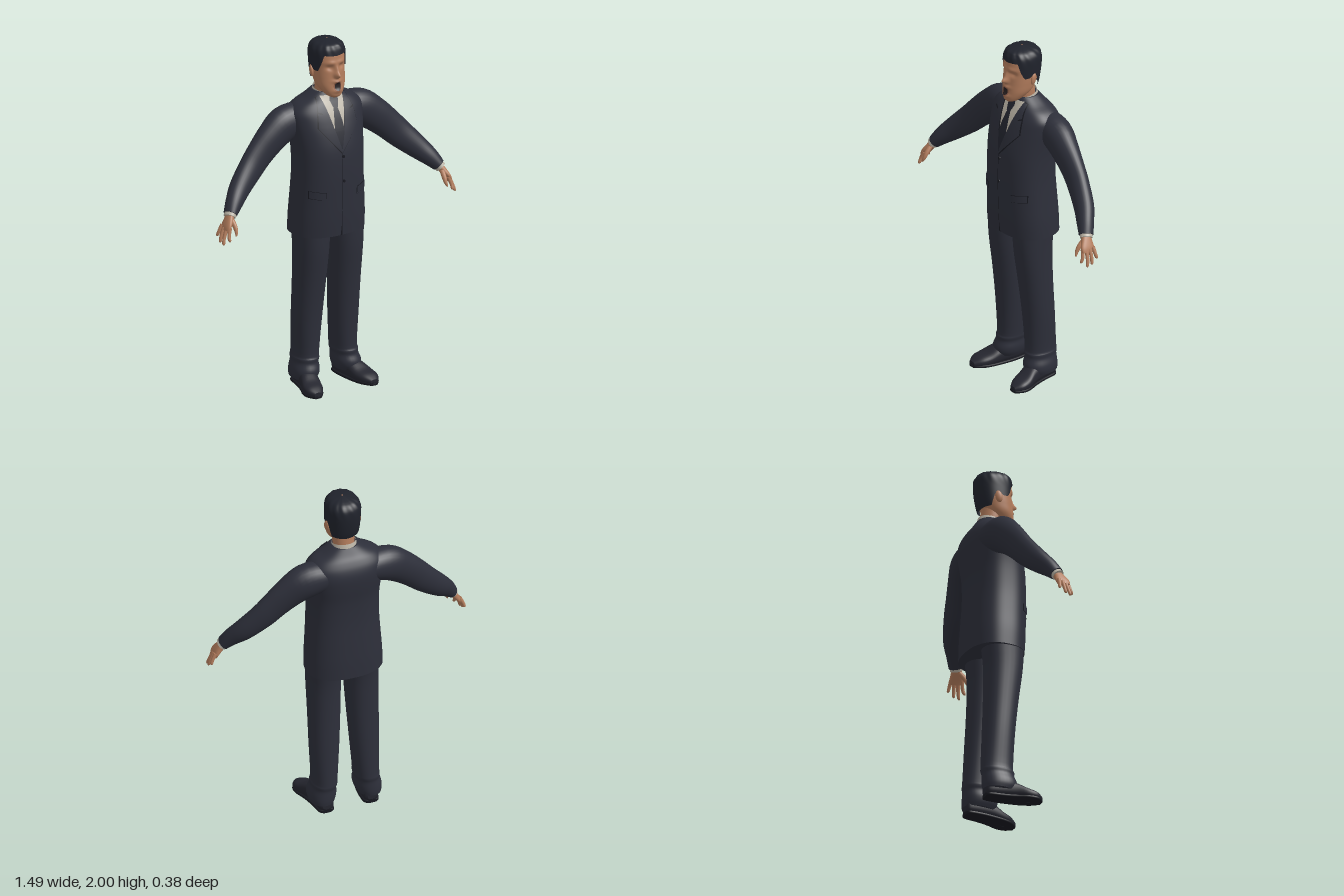
import * as THREE from 'three';

const V = (x, y, z) => new THREE.Vector3(x, y, z);
const mat = (name, color) => Object.assign(new THREE.MeshStandardMaterial({ color, side: THREE.DoubleSide }), { name });
const { lerp, clamp } = THREE.MathUtils;

// Surface through rings of points, optionally wrapped around and capped
function skin(rings, wrap = true, caps = true) {
  const n = rings[0].length, pts = rings.flat(), idx = [];
  for (let i = 0; i < rings.length - 1; i++) {
    for (let j = 0; j < (wrap ? n : n - 1); j++) {
      const k = (j + 1) % n, a = i * n + j, b = i * n + k, c = a + n, d = b + n;
      idx.push(a, b, c, b, d, c);
    }
  }
  if (wrap && caps) {
    [rings[0], rings.at(-1)].forEach((ring, end) => {
      const o = pts.length;
      const mid = ring.reduce((s, p) => s.add(p), V(0, 0, 0)).divideScalar(n);
      pts.push(...ring, mid);
      for (let j = 0; j < n; j++) {
        const k = (j + 1) % n;
        if (end) idx.push(o + j, o + k, o + n); else idx.push(o + k, o + j, o + n);
      }
    });
  }
  const g = new THREE.BufferGeometry().setFromPoints(pts);
  g.setIndex(idx);
  g.computeVertexNormals();
  return g;
}

// Smoothly refine rows of numbers
function refine(rows, steps) {
  const at = i => rows[clamp(i, 0, rows.length - 1)], out = [];
  for (let i = 0; i < rows.length - 1; i++) {
    for (let s = 0; s < steps; s++) {
      const t = s / steps;
      out.push(rows[i].map((p1, k) => {
        const p0 = at(i - 1)[k], p2 = at(i + 1)[k], p3 = at(i + 2)[k];
        return p1 + 0.5 * t * (p2 - p0 + t * (2 * p0 - 5 * p1 + 4 * p2 - p3 + t * (3 * (p1 - p2) + p3 - p0)));
      }));
    }
  }
  return [...out, rows.at(-1)];
}

const spow = (v, n) => Math.sign(v) * Math.abs(v) ** (2 / n);

// Loft along rows [x, y, z, radius along ref, radius across]
function loft(rows, { ref = V(0, 0, 1), axis, n = 2, seg = 32, steps = 4, caps = true } = {}) {
  const r = refine(rows, steps), c = r.map(p => V(p[0], p[1], p[2]));
  return skin(r.map((row, i) => {
    const t = axis ?? c[Math.min(i + 1, r.length - 1)].clone().sub(c[Math.max(i - 1, 0)]).normalize();
    const u = ref.clone().addScaledVector(t, -ref.dot(t)).normalize(), v = t.clone().cross(u);
    return Array.from({ length: seg }, (_, j) => {
      const a = j / seg * Math.PI * 2;
      return c[i].clone().addScaledVector(u, row[3] * spow(Math.cos(a), n)).addScaledVector(v, row[4] * spow(Math.sin(a), n));
    });
  }), true, caps);
}

// Body rows from [y, front z, back z, half width]
const body = list => list.map(([y, f, b, w]) => [0, y, (f + b) / 2, (f - b) / 2, w]);
function rowAt(rows, y) {
  let i = 0;
  while (i < rows.length - 2 && rows[i + 1][1] < y) i++;
  const t = clamp((y - rows[i][1]) / (rows[i + 1][1] - rows[i][1]), 0, 1);
  return rows[i].map((v, k) => lerp(v, rows[i + 1][k], t));
}
const frontZ = (rows, n) => (x, y) => {
  const [, , z, d, w] = rowAt(rows, y);
  return z + d * (1 - Math.min(1, Math.abs(x / w)) ** n) ** (1 / n);
};

// Thin plate between two edges, laid on a front surface
function patch(surf, left, right, off, cols = 10) {
  const rings = left.map((a, i) => Array.from({ length: cols + 1 }, (_, j) => {
    const x = lerp(a[0], right[i][0], j / cols), y = lerp(a[1], right[i][1], j / cols);
    return V(x, y, surf(x, y) + off);
  }));
  return skin(rings.reverse(), false);
}
const dense = (e, k = 8) => e.slice(1).flatMap((p, i) =>
  Array.from({ length: k }, (_, s) => [lerp(e[i][0], p[0], s / k), lerp(e[i][1], p[1], s / k)])).concat([e.at(-1)]);
const mirrorX = e => e.map(([x, y]) => [-x, y]);

export function createModel() {
  const root = new THREE.Group();
  const suit = mat('suit cloth', 0x2d2f3a), seam = mat('seam', 0x181920), skinMat = mat('skin', 0xb27c5c);
  const shirt = mat('shirt', 0xb9b2a4), tie = mat('tie', 0x23252f), hairMat = mat('hair', 0x20232c);
  const shoeMat = mat('shoe leather', 0x25262f), mouthMat = mat('mouth', 0x2a2223), lipMat = mat('lips', 0x93604a);
  const add = (name, geo, m, parent = root) => {
    const mesh = new THREE.Mesh(geo, m);
    mesh.name = name;
    parent.add(mesh);
    return mesh;
  };
  const up = V(0, 1, 0);

  // Jacket
  const torso = body([[0.9, 0.135, -0.185, 0.215], [1.0, 0.142, -0.183, 0.212], [1.12, 0.146, -0.176, 0.204],
    [1.25, 0.148, -0.168, 0.198], [1.38, 0.142, -0.17, 0.2], [1.48, 0.122, -0.183, 0.21], [1.55, 0.1, -0.187, 0.218],
    [1.6, 0.08, -0.175, 0.215], [1.64, 0.06, -0.153, 0.18], [1.67, 0.044, -0.13, 0.125], [1.705, 0.028, -0.106, 0.074]]);
  add('jacket', loft(torso, { axis: up, n: 2.4, seg: 80 }), suit);
  const chest = frontZ(refine(torso, 4), 2.4);

  // Shirt front, tie, front opening
  const inner = dense([[0.07, 1.69], [0.05, 1.6], [0.032, 1.52], [0.002, 1.4]]);
  add('shirtFront', patch(chest, mirrorX(inner), inner, 0.003), shirt);
  const knot = dense([[0.022, 1.685], [0.027, 1.665], [0.014, 1.625]]);
  const blade = dense([[0.013, 1.625], [0.026, 1.55], [0.03, 1.5], [0.004, 1.4]]);
  add('tieKnot', patch(chest, mirrorX(knot), knot, 0.011), tie);
  add('tieBlade', patch(chest, mirrorX(blade), blade, 0.007), tie);
  const opening = dense([[0.0015, 1.39], [0.0015, 0.96], [0.006, 0.902]]);
  add('frontOpening', patch(chest, mirrorX(opening), opening, 0.003), seam);
  for (const y of [1.36, 1.22]) {
    const b = add('button', new THREE.CylinderGeometry(0.008, 0.008, 0.006, 12).rotateX(Math.PI / 2), seam);
    b.position.set(0.008, y, chest(0, y) + 0.003);
  }

  // Neck and shirt collar
  add('neck', loft([[0, 1.62, -0.04, 0.06, 0.058], [0, 1.82, -0.015, 0.062, 0.062]]), skinMat);
  add('shirtCollar', loft([[0, 1.65, -0.045, 0.075, 0.077], [0, 1.715, -0.032, 0.068, 0.067]], { caps: false }), shirt);

  // Head, with nose, eye sockets, brow and lips raised by a rule
  const head = body([[1.688, 0.085, 0.04, 0.022], [1.705, 0.098, 0.0, 0.048], [1.75, 0.096, -0.06, 0.077],
    [1.8, 0.09, -0.09, 0.086], [1.85, 0.086, -0.108, 0.089], [1.9, 0.086, -0.112, 0.089],
    [1.95, 0.074, -0.108, 0.082], [1.985, 0.03, -0.06, 0.045]]);
  const bell = (x, y, cx, cy, sx, sy) => Math.exp(-(((x - cx) / sx) ** 2) - ((y - cy) / sy) ** 2);
  const bump = (x, y) => 0.034 * bell(x, y, 0, 1.82, 0.015, 0.017) + 0.016 * bell(x, y, 0, 1.85, 0.013, 0.025)
    - 0.011 * bell(Math.abs(x), y, 0.036, 1.862, 0.02, 0.014) + 0.006 * bell(Math.abs(x), y, 0.03, 1.89, 0.03, 0.012)
    + 0.012 * bell(x, y, 0, 1.783, 0.025, 0.01) + 0.01 * bell(x, y, 0, 1.73, 0.025, 0.012);
  const headGeo = loft(head, { axis: up, n: 2.2, seg: 112, steps: 8 }), p = headGeo.attributes.position;
  for (let i = 0; i < p.count; i++) {
    const front = clamp(p.getZ(i) / 0.04, 0, 1);
    p.setZ(i, p.getZ(i) + front * bump(p.getX(i), p.getY(i)));
  }
  headGeo.computeVertexNormals();
  add('head', headGeo, skinMat);
  const base = frontZ(refine(head, 8), 2.2), face = (x, y) => base(x, y) + bump(x, y);
  const oval = (cy, rx, ry) => Array.from({ length: 17 }, (_, i) =>
    [rx * Math.sin(i / 16 * Math.PI), cy + ry * Math.cos(i / 16 * Math.PI)]);
  for (const [name, o, off, m] of [['lips', oval(1.757, 0.024, 0.031), 0.002, lipMat],
    ['openMouth', oval(1.757, 0.018, 0.024), 0.004, mouthMat]]) add(name, patch(face, mirrorX(o), o, off), m);

  // Hair: shell with a hairline that changes around the head
  const shell = body([[1.75, 0.07, -0.09, 0.085], [1.8, 0.088, -0.108, 0.092], [1.88, 0.093, -0.122, 0.096],
    [1.94, 0.087, -0.123, 0.096], [1.97, 0.078, -0.11, 0.084], [1.988, 0.058, -0.085, 0.06], [2.0, -0.01, -0.02, 0.004]]);
  const hairRows = refine(shell, 6);
  const line = [[0, 1.93], [0.7, 1.935], [0.95, 1.875], [1.15, 1.84], [1.45, 1.84], [1.6, 1.855], [1.85, 1.84], [2.1, 1.775], [3.2, 1.765]];
  const hairline = a => {
    const i = line.findIndex(q => q[0] > a), [a0, y0] = line[i - 1], [a1, y1] = line[i];
    return lerp(y0, y1, (a - a0) / (a1 - a0));
  };
  const hairRings = Array.from({ length: 25 }, (_, i) => Array.from({ length: 96 }, (_, j) => {
    const a = j / 96 * Math.PI * 2, low = hairline(Math.min(a, Math.PI * 2 - a));
    const y = lerp(low, 2.0, 1 - (1 - i / 24) ** 1.6), [, , z, d, w] = rowAt(hairRows, y);
    const r = 1 + 0.018 * Math.sin(a * 13 + y * 40) * clamp((y - 1.9) * 15, 0, 1);
    return V(w * r * spow(Math.sin(a), 2.2), y, z + d * r * spow(Math.cos(a), 2.2));
  }));
  add('hair', skin(hairRings, true, false), hairMat);

  for (const s of [1, -1]) {
    const side = new THREE.Group();
    side.name = s > 0 ? 'leftSide' : 'rightSide';
    root.add(side);
    const flip = rows => rows.map(([x, ...r]) => [s * x, ...r]);
    const put = (name, rows, m, opt) => add(name, loft(flip(rows), opt), m, side);
    const plate = (name, a, b, off, m) => {
      const [l, r] = s > 0 ? [a, b] : [mirrorX(b), mirrorX(a)];
      add(name, patch(chest, dense(l), dense(r), off), m, side);
    };

    // Lapel over a dark edge, and pocket flap
    const lapIn = [[0.072, 1.69], [0.05, 1.6], [0.032, 1.52], [0.0, 1.4]];
    plate('lapelEdge', lapIn, [[0.093, 1.682], [0.115, 1.6], [0.124, 1.53], [0.003, 1.378]], 0.004, seam);
    plate('lapel', lapIn, [[0.09, 1.682], [0.111, 1.6], [0.12, 1.53], [0.0, 1.384]], 0.009, suit);
    plate('lapelNotch', [[0.085, 1.606], [0.085, 1.602]], [[0.113, 1.62], [0.113, 1.61]], 0.0105, seam);
    plate('pocketEdge', [[0.095, 1.167], [0.095, 1.122]], [[0.178, 1.177], [0.178, 1.132]], 0.004, seam);
    plate('pocketFlap', [[0.097, 1.165], [0.097, 1.125]], [[0.176, 1.175], [0.176, 1.135]], 0.007, suit);

    // Sleeve and shirt cuff
    put('sleeve', [[0.13, 1.55, -0.08, 0.085, 0.085], [0.235, 1.53, -0.072, 0.083, 0.101], [0.32, 1.475, -0.06, 0.07, 0.093],
      [0.4, 1.405, -0.048, 0.058, 0.084], [0.47, 1.335, -0.033, 0.054, 0.077], [0.56, 1.25, 0.0, 0.053, 0.064],
      [0.62, 1.19, 0.038, 0.046, 0.05], [0.66, 1.142, 0.064, 0.041, 0.036]], suit);
    put('shirtCuff', [[0.65, 1.155, 0.058, 0.036, 0.031], [0.669, 1.13, 0.07, 0.036, 0.031]], shirt);

    // Hand
    put('palm', [[0.655, 1.148, 0.062, 0.025, 0.02], [0.675, 1.118, 0.073, 0.032, 0.019], [0.697, 1.085, 0.083, 0.041, 0.015],
      [0.708, 1.063, 0.086, 0.037, 0.011]], skinMat, { n: 2.4 });
    const fingers = [[0.692, 1.07, 0.113, 0.706, 1.012, 0.133], [0.703, 1.066, 0.096, 0.732, 0.992, 0.112],
      [0.708, 1.068, 0.076, 0.736, 1.0, 0.084], [0.708, 1.075, 0.056, 0.733, 1.024, 0.05]];
    for (const [x, y, z, tx, ty, tz] of fingers) {
      put('finger', [[x, y + 0.012, z, 0.011, 0.011], [(x + tx) / 2 + 0.006, (y + ty) / 2, (z + tz) / 2, 0.0095, 0.0095],
        [tx, ty + 0.006, tz, 0.008, 0.008], [tx, ty, tz, 0.003, 0.003]], skinMat, { seg: 12 });
    }
    put('thumb', [[0.668, 1.125, 0.08, 0.014, 0.014], [0.664, 1.092, 0.113, 0.014, 0.013], [0.664, 1.062, 0.132, 0.01, 0.01],
      [0.67, 1.04, 0.142, 0.004, 0.004]], skinMat, { seg: 12 });

    // Ear
    const ear = add('ear', new THREE.SphereGeometry(1, 16, 12), skinMat, side);
    ear.scale.set(0.011, 0.034, 0.02);
    ear.position.set(s * 0.093, 1.828, -0.022);
    ear.rotation.set(-0.2, s * 0.3, 0);

    // Trouser leg with folds at the ankle
    put('trouserLeg', [[0.137, 0.05, -0.042, 0.09, 0.066], [0.134, 0.075, -0.037, 0.098, 0.074], [0.13, 0.105, -0.037, 0.098, 0.075],
      [0.126, 0.14, -0.043, 0.091, 0.068], [0.123, 0.165, -0.045, 0.094, 0.071], [0.12, 0.2, -0.047, 0.09, 0.069],
      [0.116, 0.4, -0.036, 0.09, 0.08], [0.111, 0.6, -0.02, 0.096, 0.087], [0.108, 0.8, -0.005, 0.108, 0.093],
      [0.106, 0.95, -0.01, 0.12, 0.1]], suit, { axis: up, n: 2.2 });

    // Shoe and sole
    const shoe = [[0.13, 0.045, -0.125, 0.022, 0.026], [0.13, 0.051, -0.105, 0.046, 0.044], [0.135, 0.056, -0.03, 0.054, 0.05],
      [0.148, 0.052, 0.04, 0.05, 0.054], [0.165, 0.036, 0.1, 0.036, 0.059], [0.175, 0.029, 0.15, 0.028, 0.05], [0.178, 0.022, 0.188, 0.014, 0.022]];
    put('shoe', shoe, shoeMat, { ref: up, axis: V(0, 0, 1), n: 2.4 });
    put('sole', shoe.map(([x, , z, , w]) => [x, 0.01, z, 0.01, w * 1.03]), seam, { ref: up, axis: V(0, 0, 1), n: 4 });
  }
  return root;
}
